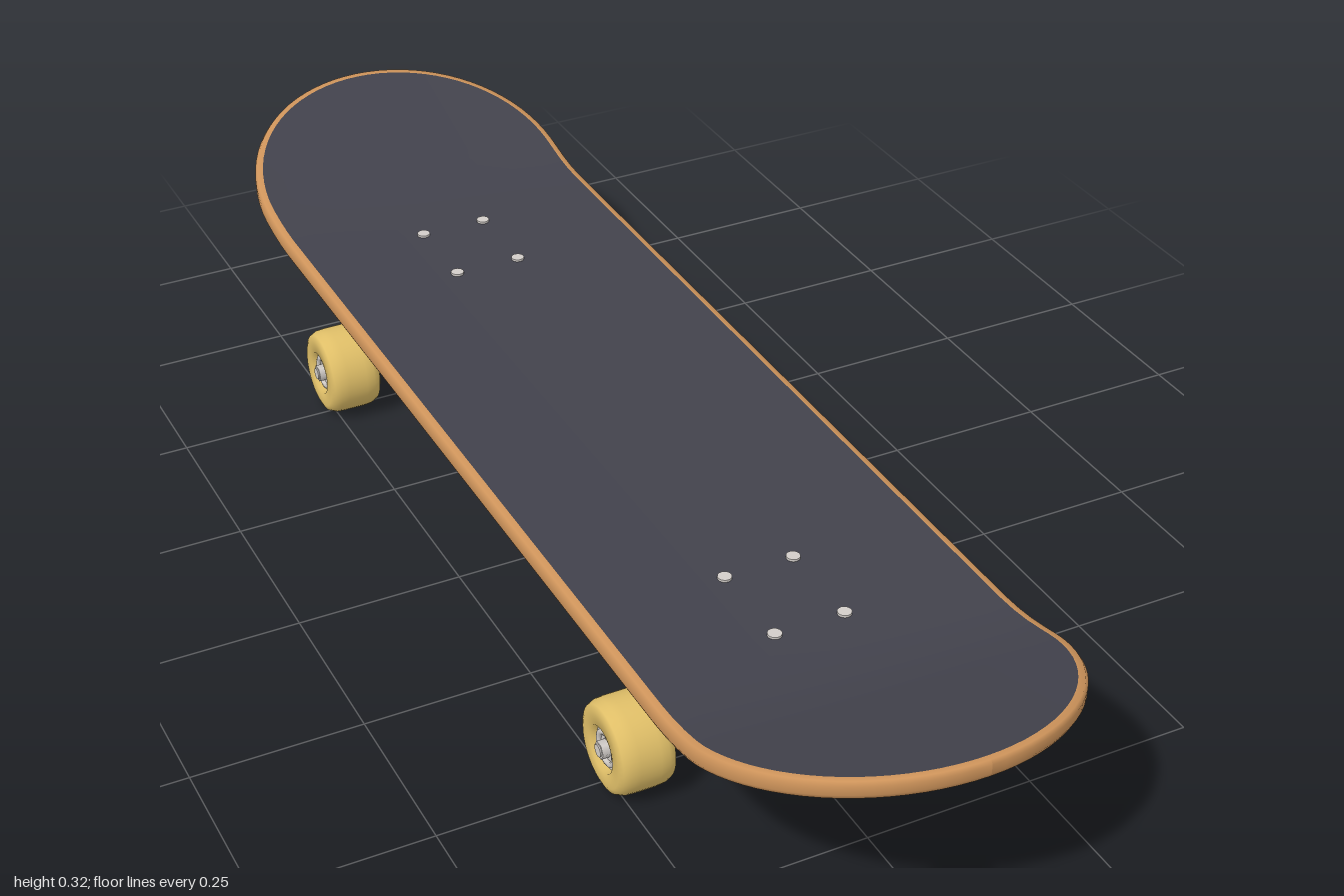
import * as THREE from 'three';

const paint = (name, color) => {
  const m = new THREE.MeshStandardMaterial({ color });
  m.name = name;
  return m;
};
const grip = paint('charcoal grip', 0x42424c);
const wood = paint('maple wood', 0xcd935a);
const green = paint('sea green', 0x66a88d);
const red = paint('coral red', 0xdc6655);
const rubber = paint('brick red rubber', 0xbe5246);
const gold = paint('bright gold', 0xdcb850);
const metal = paint('pale metal', 0xd2cdc9);
const cream = paint('amber wheel', 0xe0bf68);

const HALF_WIDTH = 0.262, ARC_Z = 0.738, THICK = 0.029;

// Underside height: flat middle, kicked-up ends, slightly raised side edges
function underside(x, z) {
  const d = Math.abs(z) - 0.64, slope = 0.316;
  const rise = d <= 0 ? 0 : d < 0.12 ? slope * d * d / 0.24 : slope * (d - 0.06);
  return 0.202 + rise + 0.005 * (x / HALF_WIDTH) ** 2;
}

function add(parent, name, geometry, material, x = 0, y = 0, z = 0) {
  const mesh = new THREE.Mesh(geometry, material);
  mesh.name = name;
  mesh.position.set(x, y, z);
  parent.add(mesh);
  return mesh;
}

// Smooth surface from a grid of points
function gridGeometry(rows, cols, point) {
  const pos = [], index = [];
  for (let i = 0; i <= rows; i++) for (let j = 0; j <= cols; j++) {
    pos.push(...point(i, j));
    if (i < rows && j < cols) {
      const a = i * (cols + 1) + j, c = a + cols + 1;
      index.push(a, c, a + 1, a + 1, c, c + 1);
    }
  }
  const g = new THREE.BufferGeometry();
  g.setAttribute('position', new THREE.Float32BufferAttribute(pos, 3));
  g.setIndex(index);
  g.computeVertexNormals();
  return g;
}

// Tapered round bar between two points in the y-z plane
function rod(parent, name, [y0, z0], [y1, z1], r0, r1, material) {
  const a = new THREE.Vector3(0, y0, z0), b = new THREE.Vector3(0, y1, z1);
  const dir = b.clone().sub(a);
  const mesh = add(parent, name, new THREE.CylinderGeometry(r1, r0, dir.length(), 24), material);
  mesh.position.copy(a).add(b).multiplyScalar(0.5);
  mesh.quaternion.setFromUnitVectors(new THREE.Vector3(0, 1, 0), dir.normalize());
}

function lathe(points, segments = 40) {
  return new THREE.LatheGeometry(points.map(p => new THREE.Vector2(...p)), segments).rotateZ(-Math.PI / 2);
}

function makeDeck() {
  const deck = new THREE.Group();
  deck.name = 'deck';
  const ARC = 20, STRAIGHT = 48;

  // Stations along the length, shared by the sheets and the rim
  const stations = [];
  for (let i = 0; i < ARC; i++) stations.push([-ARC_Z, -Math.cos(i / ARC * Math.PI / 2)]);
  for (let i = 0; i <= STRAIGHT; i++) stations.push([ARC_Z * (2 * i / STRAIGHT - 1), 0]);
  for (let i = 1; i <= ARC; i++) stations.push([ARC_Z, Math.sin(i / ARC * Math.PI / 2)]);

  const edge = (k, inset) => {
    const [base, s] = stations[k], r = HALF_WIDTH - inset;
    return [r * Math.sqrt(Math.max(0, 1 - s * s)), base + r * s];
  };
  const sheet = (inset, lift, side) => gridGeometry(stations.length - 1, 16, (i, j) => {
    const [w, z] = edge(i, inset), x = side * w * (j / 8 - 1);
    return [x, underside(x, z) + lift, z];
  });
  add(deck, 'gripTop', sheet(0.013, THICK, 1), grip);
  add(deck, 'paintedUnderside', sheet(0.007, 0, -1), green);

  // Rounded wooden rim, one half per side
  const profile = [[0.013, THICK], [0.004, 0.0275], [0, 0.021], [0, 0.008], [0.003, 0.002], [0.007, 0]];
  for (const side of [1, -1]) {
    const last = stations.length - 1;
    const g = gridGeometry(last, profile.length - 1, (i, j) => {
      const [inset, lift] = profile[j];
      const [w, z] = edge(side > 0 ? i : last - i, inset);
      return [side * w, underside(w, z) + lift, z];
    });
    add(deck, side > 0 ? 'leftRim' : 'rightRim', g, wood);
  }
  return deck;
}

// Raised ornaments on the underside
function makeOrnaments() {
  const group = new THREE.Group();
  group.name = 'undersideOrnaments';
  add(group, 'centreRing', new THREE.TorusGeometry(0.089, 0.019, 12, 56).rotateX(Math.PI / 2).scale(1, 0.25, 1), red, 0, 0.202, 0);
  add(group, 'centreDisc', new THREE.CylinderGeometry(0.074, 0.072, 0.005, 48), gold, 0, 0.202, 0);
  for (const s of [1, -1]) {
    add(group, 'sideStripe', new THREE.BoxGeometry(0.012, 0.006, 0.64), metal, s * 0.175, underside(0.175, 0), 0);
    const bar = add(group, 'endBar', new THREE.CapsuleGeometry(0.026, 0.26, 8, 24).rotateZ(Math.PI / 2).scale(1, 0.3, 1), red,
      0, underside(0.1, 0.73), s * 0.73);
    bar.rotation.x = -s * 0.235;
    for (const x of [-0.088, 0, 0.088]) {
      const dot = add(group, 'endDot', new THREE.SphereGeometry(0.022, 24, 12).scale(1, 0.25, 1), gold,
        x, underside(x, 0.85), s * 0.85);
      dot.rotation.x = -s * 0.306;
    }
  }
  return group;
}

// Wheel with recessed hub, bearing and axle nut, facing +x
function makeWheel() {
  const wheel = new THREE.Group();
  wheel.name = 'wheel';
  add(wheel, 'tyre', lathe([[0.03, -0.03], [0.034, -0.041], [0.054, -0.0415], [0.062, -0.038], [0.0665, -0.028],
    [0.0675, -0.015], [0.0675, 0.015], [0.0665, 0.028], [0.062, 0.038], [0.054, 0.0415], [0.034, 0.041], [0.03, 0.03]]), cream);
  add(wheel, 'bearing', new THREE.CylinderGeometry(0.031, 0.031, 0.064, 32).rotateZ(Math.PI / 2), metal);
  add(wheel, 'bearingRing', new THREE.TorusGeometry(0.023, 0.005, 8, 32).rotateY(Math.PI / 2), metal, 0.032);
  add(wheel, 'axleNut', new THREE.CylinderGeometry(0.013, 0.013, 0.016, 6).rotateZ(Math.PI / 2), metal, 0.036);
  add(wheel, 'axleTip', new THREE.CylinderGeometry(0.009, 0.009, 0.02, 16).rotateZ(Math.PI / 2), metal, 0.036);
  return wheel;
}

// Truck for the front end; the kingpin leans toward the board's middle
function makeTruck() {
  const truck = new THREE.Group();
  truck.name = 'truck';
  const Z = 0.512, AXLE_Y = 0.0675;
  add(truck, 'basePlate', new THREE.BoxGeometry(0.15, 0.022, 0.19), metal, 0, 0.191, Z);
  for (const x of [-0.052, 0.052]) for (const dz of [-0.068, 0.068]) {
    add(truck, 'boltHead', new THREE.CylinderGeometry(0.01, 0.01, 0.005, 16), metal, x, underside(x, 0) + THICK + 0.001, Z + dz);
    add(truck, 'boltNut', new THREE.CylinderGeometry(0.009, 0.009, 0.014, 6), metal, x, 0.175, Z + dz);
  }
  // Hanger and axle
  add(truck, 'hanger', lathe([[0, -0.182], [0.019, -0.182], [0.021, -0.178], [0.026, -0.1], [0.029, -0.04], [0.03, 0],
    [0.029, 0.04], [0.026, 0.1], [0.021, 0.178], [0.019, 0.182], [0, 0.182]], 32), metal, 0, AXLE_Y, Z);
  add(truck, 'axle', new THREE.CylinderGeometry(0.012, 0.012, 0.5, 20).rotateZ(Math.PI / 2), metal, 0, AXLE_Y, Z);
  // Pivot arm up to the plate
  rod(truck, 'pivotArm', [0.108, 0.528], [0.185, 0.566], 0.022, 0.016, metal);
  add(truck, 'pivotArmFoot', new THREE.SphereGeometry(0.022, 24, 16), metal, 0, 0.108, 0.528);
  rod(truck, 'hangerNeck', [AXLE_Y, Z], [0.108, 0.528], 0.024, 0.022, metal);
  rod(truck, 'hangerYoke', [0.075, 0.51], [0.133, 0.462], 0.026, 0.022, metal);
  // Kingpin stack
  const at = t => [0.19 - 0.77 * t, 0.503 - 0.64 * t];
  const stack = (name, t0, t1, r0, r1, m) => rod(truck, name, at(t0), at(t1), r0, r1, m);
  stack('kingpinSeat', 0, 0.022, 0.028, 0.028, metal);
  stack('upperBushing', 0.022, 0.054, 0.028, 0.03, rubber);
  stack('hangerRing', 0.054, 0.076, 0.033, 0.033, metal);
  stack('lowerBushing', 0.076, 0.104, 0.029, 0.024, rubber);
  stack('washer', 0.104, 0.109, 0.026, 0.026, metal);
  stack('kingpinNut', 0.109, 0.122, 0.016, 0.016, metal);
  stack('kingpinTip', 0.122, 0.13, 0.009, 0.009, metal);
  // Wheels
  for (const s of [1, -1]) {
    const wheel = makeWheel();
    wheel.position.set(s * 0.227, AXLE_Y, Z);
    if (s < 0) wheel.rotation.y = Math.PI;
    truck.add(wheel);
  }
  return truck;
}

export function createModel() {
  const model = new THREE.Group();
  model.name = 'skateboard';
  const front = makeTruck(), back = makeTruck();
  front.name = 'frontTruck';
  back.name = 'backTruck';
  back.rotation.y = Math.PI;
  model.add(makeDeck(), makeOrnaments(), front, back);
  return model;
}
